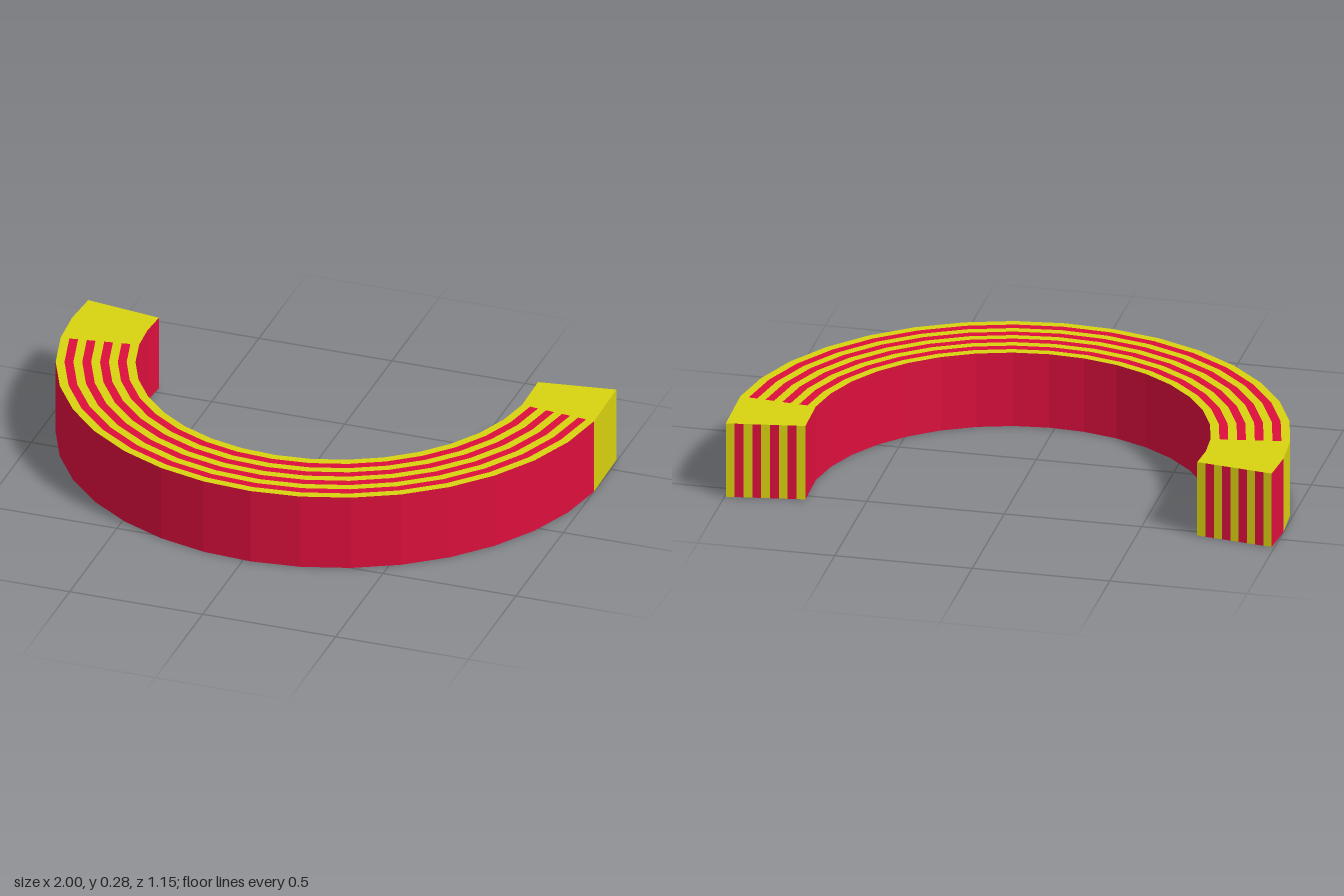
import * as THREE from 'three';

const R_IN = 0.72, R_OUT = 1.003, HEIGHT = 0.283, BANDS = 9;
const CX = 0.003, CZ = -0.43;

// Facet boundaries in degrees: right tip, 16 striped facets, two left tip facets
const START = 6, END = 171.2, STEPS = 16;
const angles = [-8.2];
for (let i = 0; i <= STEPS; i++) angles.push(START + (END - START) * i / STEPS);
angles.push(180, 188.2);
const LAST = angles.length - 1;

const point = (r, deg, y) => {
  const t = THREE.MathUtils.degToRad(deg);
  return [CX + r * Math.cos(t), y, CZ + r * Math.sin(t)];
};
const bandRadius = i => R_IN + (R_OUT - R_IN) * i / BANDS;

// Flat-shaded mesh from four-cornered faces
function quadMesh(name, material, quads) {
  const pos = [];
  for (const [a, b, c, d] of quads) pos.push(...a, ...b, ...c, ...a, ...c, ...d);
  const geo = new THREE.BufferGeometry();
  geo.setAttribute('position', new THREE.Float32BufferAttribute(pos, 3));
  geo.computeVertexNormals();
  const mesh = new THREE.Mesh(geo, material);
  mesh.name = name;
  return mesh;
}

// Horizontal ring sector between two radii, for facets from..to
function ringQuads(r0, r1, y, from, to, up) {
  const quads = [];
  for (let i = from; i < to; i++) {
    const a = angles[i], b = angles[i + 1];
    const q = [point(r0, a, y), point(r0, b, y), point(r1, b, y), point(r1, a, y)];
    quads.push(up ? q : q.reverse());
  }
  return quads;
}

// Upright curved wall
function wallQuads(r, from, to, outward) {
  const quads = [];
  for (let i = from; i < to; i++) {
    const a = angles[i], b = angles[i + 1];
    const q = [point(r, a, 0), point(r, a, HEIGHT), point(r, b, HEIGHT), point(r, b, 0)];
    quads.push(outward ? q : q.reverse());
  }
  return quads;
}

// One upright stripe on an end face
function endQuad(i, deg, flip) {
  const r0 = bandRadius(i), r1 = bandRadius(i + 1);
  const q = [point(r0, deg, 0), point(r0, deg, HEIGHT), point(r1, deg, HEIGHT), point(r1, deg, 0)];
  return flip ? q.reverse() : q;
}

export function createModel() {
  const group = new THREE.Group();
  group.name = 'stripedArch';
  const red = new THREE.MeshStandardMaterial({ color: 0xdc0f3d });
  red.name = 'crimson';
  const yellow = new THREE.MeshStandardMaterial({ color: 0xd8d20f });
  yellow.name = 'yellow';

  // Striped top and underside with plain tips
  for (const [side, y, up] of [['top', HEIGHT, true], ['underside', 0, false]]) {
    for (let i = 0; i < BANDS; i++) {
      group.add(quadMesh(`${side}Stripe${i + 1}`, i % 2 ? red : yellow,
        ringQuads(bandRadius(i), bandRadius(i + 1), y, 1, LAST - 2, up)));
    }
    group.add(quadMesh(`${side}Tips`, yellow, [
      ...ringQuads(R_IN, R_OUT, y, 0, 1, up),
      ...ringQuads(R_IN, R_OUT, y, LAST - 2, LAST, up),
    ]));
  }

  // Inner and outer walls
  group.add(quadMesh('innerWall', red, wallQuads(R_IN, 0, LAST, false)));
  group.add(quadMesh('outerWall', red, [
    ...wallQuads(R_OUT, 1, LAST - 2, true),
    ...wallQuads(R_OUT, LAST - 1, LAST, true),
  ]));
  group.add(quadMesh('outerPatches', yellow, [
    ...wallQuads(R_OUT, 0, 1, true),
    ...wallQuads(R_OUT, LAST - 2, LAST - 1, true),
  ]));

  // Striped end faces
  for (const [name, deg, flip] of [['leftEnd', angles[0], false], ['rightEnd', angles[LAST], true]]) {
    for (let i = 0; i < BANDS; i++) {
      group.add(quadMesh(`${name}Stripe${i + 1}`, i % 2 ? red : yellow, [endQuad(i, deg, flip)]));
    }
  }
  return group;
}
